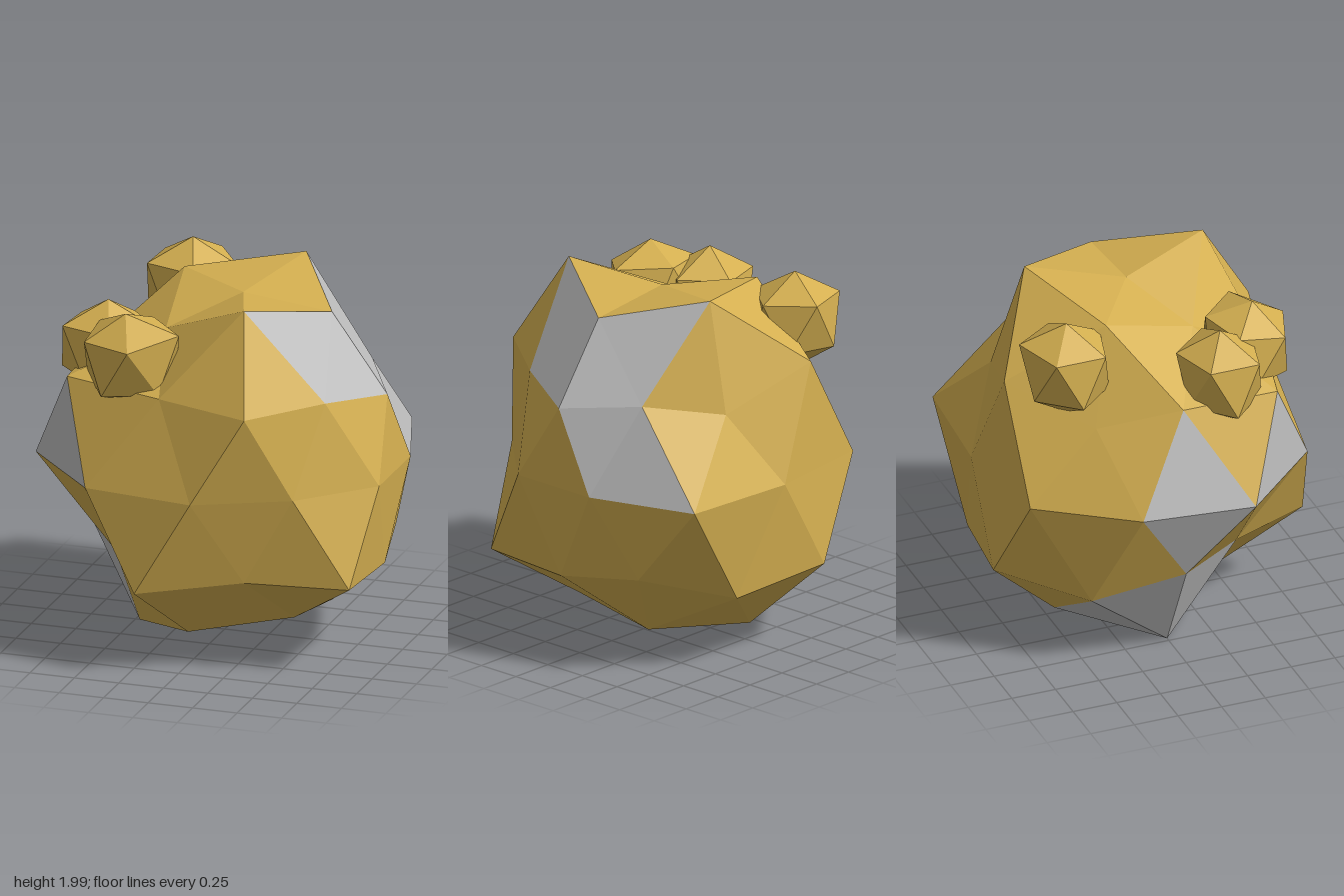
import * as THREE from 'three';

const gold = new THREE.MeshStandardMaterial({ color: 0xd4af50 });
gold.name = 'gold';
const grey = new THREE.MeshStandardMaterial({ color: 0xbdbdbd });
grey.name = 'grey';

// Rings of an icosphere standing on a pole: height, first azimuth, step (degrees)
const RINGS = {
  M: [0.851, 0, 72],   // between top and upper ring
  U: [0.447, 0, 72],   // upper ring
  N: [0.526, 36, 72],  // between upper corners
  E: [0, 18, 36],      // equator
  L: [-0.447, 36, 72], // lower ring
  O: [-0.526, 0, 72],  // between lower corners
  V: [-0.851, 36, 72], // between lower ring and bottom
};
const SQUASH = new THREE.Vector3(1, 1.06, 0.93);

// Named points pushed in or out from the centre
function ringPoints(radii) {
  const points = {
    T: new THREE.Vector3(0, radii.T, 0).multiply(SQUASH),
    B: new THREE.Vector3(0, -radii.B, 0).multiply(SQUASH),
  };
  for (const [ring, [y, start, step]] of Object.entries(RINGS)) {
    (radii[ring] || []).forEach((r, i) => {
      const a = THREE.MathUtils.degToRad(start + step * i);
      const w = Math.sqrt(1 - y * y);
      points[ring + i] = new THREE.Vector3(w * Math.cos(a), y, w * Math.sin(a))
        .multiplyScalar(r).multiply(SQUASH);
    });
  }
  return points;
}

// Twenty large triangles, each as three corners and the three edge midpoints
function largeTriangles() {
  const list = [];
  for (let k = 0; k < 5; k++) {
    const n = (k + 1) % 5;
    const e = 2 * k, f = 2 * k + 1, g = 2 * n;
    list.push(
      ['T', `U${k}`, `U${n}`, `M${k}`, `N${k}`, `M${n}`],
      [`U${k}`, `U${n}`, `L${k}`, `N${k}`, `E${f}`, `E${e}`],
      [`L${k}`, `L${n}`, `U${n}`, `O${n}`, `E${g}`, `E${f}`],
      ['B', `L${k}`, `L${n}`, `V${k}`, `O${n}`, `V${n}`],
    );
  }
  return list;
}

// Flat-faced mesh from named triangles, wound outwards
function facetMesh(name, points, faces, material) {
  const pos = [];
  for (const face of faces) {
    let [a, b, c] = face.map((key) => points[key]);
    const normal = b.clone().sub(a).cross(c.clone().sub(a));
    if (normal.dot(a.clone().add(b).add(c)) < 0) [b, c] = [c, b];
    for (const p of [a, b, c]) pos.push(p.x, p.y, p.z);
  }
  const geometry = new THREE.BufferGeometry();
  geometry.setAttribute('position', new THREE.Float32BufferAttribute(pos, 3));
  geometry.computeVertexNormals();
  const mesh = new THREE.Mesh(geometry, material);
  mesh.name = name;
  return mesh;
}

// Main boulder: radius of every point, ring by ring
const BODY = {
  T: 0.86,
  M: [0.95, 1.1, 0.83, 1.01, 1.1],
  U: [0.905, 1.03, 1.11, 0.87, 0.86],
  N: [0.87, 0.91, 0.957, 1.08, 0.855],
  E: [0.895, 0.84, 0.94, 1.05, 1.11, 1.03, 1.065, 0.955, 1.12, 0.895],
  L: [1.07, 1.12, 0.955, 1.12, 0.965],
  O: [0.935, 0.87, 0.85, 1.05, 1.06],
  V: [0.88, 0.965, 1.107, 1.03, 0.957],
  B: 0.865,
};

// Exposed grey facets
const GREY_FACES = new Set([
  'M0 M1 N0', 'M0 N0 U0', 'M0 M4 N4', 'M0 N4 U0', 'E9 N4 U0', 'E8 E9 N4',
  'E4 E5 N2', 'E4 E5 L2', 'E3 E4 U2', 'L2 O2 V2', 'L2 O3 V2', 'O3 V2 V3',
]);

// Small nuggets stuck to the top
const NUGGETS = [
  { name: 'frontNugget', at: [-0.375, 1.657, 0.49], tilt: 0.15,
    T: 0.24, U: [0.33, 0.29, 0.27, 0.27, 0.28], L: [0.29, 0.29, 0.26, 0.27, 0.3], B: 0.24 },
  { name: 'sideNugget', at: [-0.56, 1.62, 0.27], tilt: 0,
    T: 0.25, U: [0.29, 0.27, 0.29, 0.27, 0.28], L: [0.26, 0.26, 0.29, 0.26, 0.26], B: 0.25 },
  { name: 'backNugget', at: [-0.36, 1.73, -0.53], tilt: 0,
    T: 0.25, U: [0.28, 0.28, 0.29, 0.28, 0.3], L: [0.27, 0.27, 0.28, 0.27, 0.27], B: 0.26 },
];

export function createModel() {
  const model = new THREE.Group();
  model.name = 'goldOre';
  const triangles = largeTriangles();

  // Boulder, each large triangle split into four
  const small = triangles.flatMap(([a, b, c, ab, bc, ca]) => [
    [a, ab, ca], [b, bc, ab], [c, ca, bc], [ab, bc, ca],
  ]);
  const isGrey = (face) => GREY_FACES.has([...face].sort().join(' '));
  const points = ringPoints(BODY);
  const boulder = new THREE.Group();
  boulder.name = 'boulder';
  boulder.position.set(0.105, 1, 0);
  boulder.add(
    facetMesh('goldFacets', points, small.filter((f) => !isGrey(f)), gold),
    facetMesh('greyFacets', points, small.filter(isGrey), grey),
  );
  model.add(boulder);

  // Nuggets use only the twenty large triangles
  const corners = triangles.map((t) => t.slice(0, 3));
  for (const nugget of NUGGETS) {
    const mesh = facetMesh(nugget.name, ringPoints(nugget), corners, gold);
    mesh.position.set(...nugget.at);
    mesh.rotation.x = nugget.tilt;
    model.add(mesh);
  }
  return model;
}
